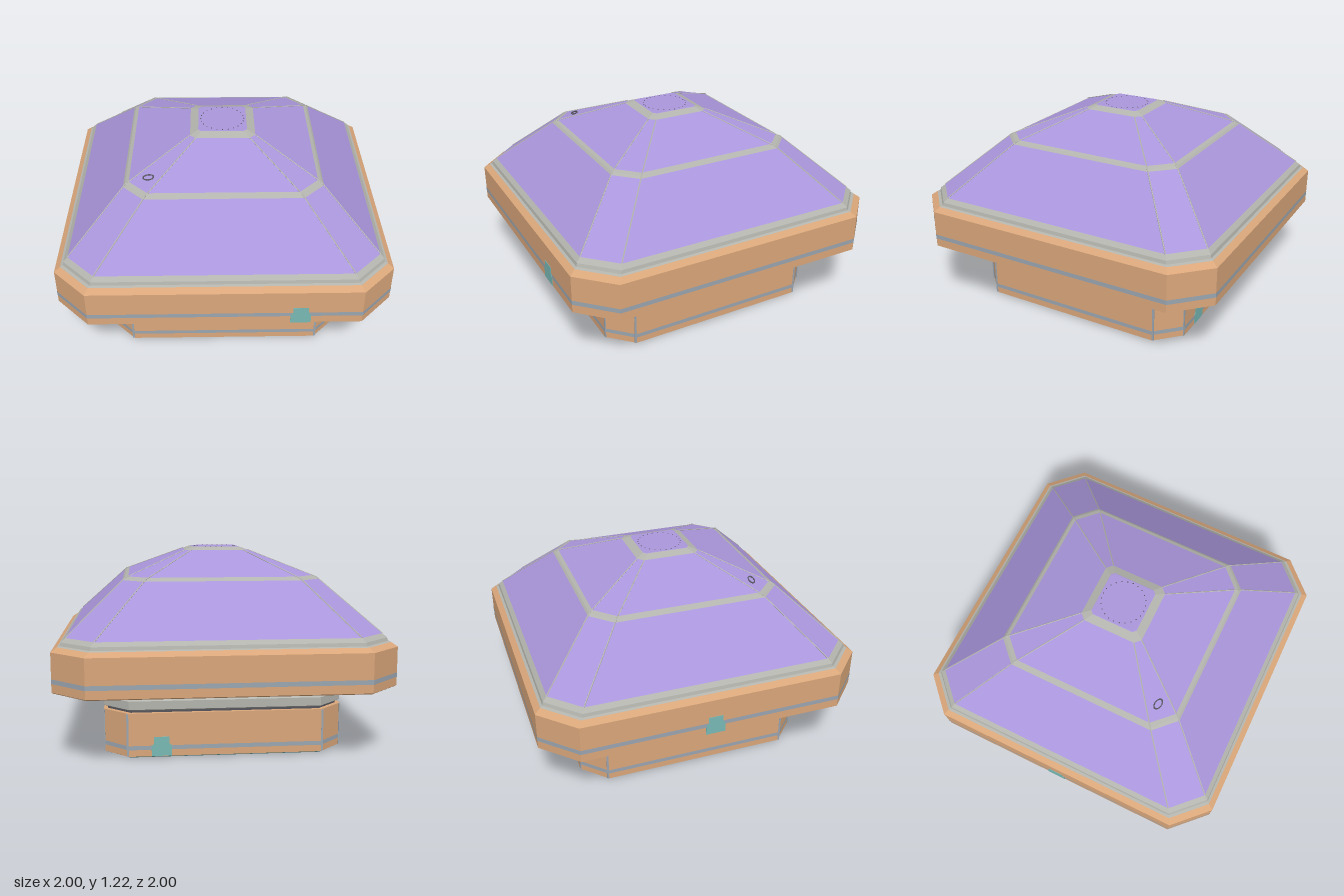
import * as THREE from 'three';

const mat = (color) => new THREE.MeshStandardMaterial({ color, flatShading: true, side: THREE.DoubleSide });
const TAN = mat(0xd9a67a), PURPLE = mat(0xaa96dc), TEAL = mat(0x78b8b4);
const GREY = mat(0xb4b4ae), STRIPE = mat(0x9aa5b0), DARK = mat(0x55555c);

// Chamfered square: half width h, chamfer starting at c, height y
function section([h, c, y]) {
  return [[c, h], [h, c], [h, -c], [c, -h], [-c, -h], [-h, -c], [-h, c], [-c, h]]
    .map(([x, z]) => new THREE.Vector3(x, y, z));
}

// Flat-faceted skin through chamfered sections listed from bottom to top
function loft(profile, bottom = false, top = false) {
  const rings = profile.map(section), pts = [];
  for (let r = 0; r < rings.length - 1; r++) {
    const a = rings[r], b = rings[r + 1];
    for (let i = 0; i < 8; i++) {
      const j = (i + 1) % 8;
      pts.push(a[i], a[j], b[j], a[i], b[j], b[i]);
    }
  }
  const cap = (ring, up) => {
    for (let i = 1; i < 7; i++) pts.push(ring[0], ring[up ? i : i + 1], ring[up ? i + 1 : i]);
  };
  if (bottom) cap(rings[0], false);
  if (top) cap(rings[rings.length - 1], true);
  const g = new THREE.BufferGeometry().setFromPoints(pts);
  g.computeVertexNormals();
  return g;
}

export function createModel() {
  const model = new THREE.Group();
  const add = (name, geometry, material, parent = model) => {
    const m = new THREE.Mesh(geometry, material);
    m.name = name;
    parent.add(m);
    return m;
  };
  const group = (name) => {
    const g = new THREE.Group();
    g.name = name;
    model.add(g);
    return g;
  };

  // Base block with a teal underside
  add('baseFloor', loft([[0.70, 0.565, 0], [0.72, 0.575, 0.01]], true), TEAL);
  add('baseBlock', loft([[0.72, 0.575, 0.01], [0.72, 0.575, 0.27]], false, true), TAN);
  add('baseStripe', loft([[0.722, 0.576, 0.05], [0.722, 0.576, 0.075]]), STRIPE);

  // Upright seams beside each base corner
  const seams = group('baseSeams');
  for (let side = 0; side < 4; side++) {
    const face = new THREE.Group();
    face.rotation.y = side * Math.PI / 2;
    seams.add(face);
    for (const s of [-1, 1])
      add('seam', new THREE.BoxGeometry(0.012, 0.255, 0.006), STRIPE, face).position.set(s * 0.58, 0.14, 0.718);
  }

  // Ringed neck
  add('neckCore', loft([[0.695, 0.56, 0.27], [0.695, 0.56, 0.42]]), DARK);
  add('lowerNeckRing', loft([[0.705, 0.565, 0.285], [0.718, 0.57, 0.292], [0.718, 0.57, 0.342], [0.705, 0.565, 0.35]], true, true), GREY);
  add('upperNeckRing', loft([[0.705, 0.565, 0.36], [0.715, 0.57, 0.367], [0.715, 0.57, 0.418]], true, true), GREY);
  const tabs = group('neckTabs');
  for (let i = 0; i < 4; i++) {
    const a = i * Math.PI / 2;
    const tab = add('neckTab', new THREE.BoxGeometry(0.16, 0.03, 0.02), TEAL, tabs);
    tab.position.set(Math.sin(a) * 0.714, 0.403, Math.cos(a) * 0.714);
    tab.rotation.y = a;
  }

  // Wide lid wall
  add('lidUnderside', loft([[0.97, 0.785, 0.418], [0.99, 0.795, 0.42]], true), TEAL);
  add('lidWall', loft([[0.99, 0.795, 0.418], [1, 0.8, 0.425], [1, 0.8, 0.655], [0.965, 0.78, 0.68]]), TAN);
  add('lidStripe', loft([[1.001, 0.801, 0.475], [1.001, 0.801, 0.502]]), STRIPE);
  add('lidRim', loft([[0.965, 0.78, 0.68], [0.95, 0.77, 0.685], [0.945, 0.765, 0.705], [0.92, 0.75, 0.728]]), GREY);

  // Two-pitch roof with pale trim at the break and around the crown
  add('lowerRoof', loft([[0.92, 0.75, 0.728], [0.597, 0.47, 1.029]]), PURPLE);
  add('roofTrim', loft([[0.597, 0.47, 1.029], [0.585, 0.46, 1.04], [0.563, 0.445, 1.049]]), GREY);
  add('upperRoof', loft([[0.563, 0.445, 1.049], [0.2, 0.165, 1.195]]), PURPLE);
  add('crownTrim', loft([[0.2, 0.165, 1.195], [0.15, 0.13, 1.214]]), GREY);
  add('crown', loft([[0.15, 0.13, 1.214], [0.145, 0.125, 1.215]], false, true), PURPLE);

  // Thin seams along the roof ridges
  const ridges = group('roofRidges');
  const levels = [[0.92, 0.75, 0.728], [0.585, 0.46, 1.04], [0.2, 0.165, 1.195]].map(section);
  for (let l = 0; l < 2; l++) for (let i = 0; i < 8; i++)
    add('ridge', new THREE.TubeGeometry(new THREE.LineCurve3(levels[l][i], levels[l + 1][i]), 1, 0.004, 5), GREY, ridges);

  // Small oval loop on the front corner of the roof
  const loop = add('roofLoop', new THREE.TorusGeometry(0.025, 0.004, 6, 20), DARK);
  loop.scale.set(1.3, 0.8, 1);
  loop.position.set(-0.445, 1.08, 0.445);
  loop.quaternion.setFromUnitVectors(new THREE.Vector3(0, 0, 1), new THREE.Vector3(-0.11, 0.48, 0.11).normalize());

  // Stepped ports on the lid and base
  const port = new THREE.Shape([[-0.06, 0], [0.06, 0], [0.06, 0.06], [0.045, 0.075], [0.045, 0.115],
    [-0.045, 0.115], [-0.045, 0.075], [-0.06, 0.06]].map(([x, y]) => new THREE.Vector2(x, y)));
  const portGeometry = new THREE.ExtrudeGeometry(port, { depth: 0.006, bevelEnabled: false });
  for (const [name, x, y, z, turn] of [
    ['frontPort', 0.44, 0.425, 0.997, 0],
    ['sidePort', -0.997, 0.425, 0, -Math.PI / 2],
    ['basePort', 0.38, 0.012, -0.717, Math.PI],
  ]) {
    const p = add(name, portGeometry, TEAL);
    p.position.set(x, y, z);
    p.rotation.y = turn;
  }

  // Rings of pin holes on the crown and underside
  const pins = group('pinHoles');
  const pin = new THREE.CylinderGeometry(0.004, 0.004, 0.002, 6);
  for (const [radius, y] of [[0.135, 1.2155], [0.18, 0.0005]])
    for (let i = 0; i < 24; i++) {
      const a = i / 24 * Math.PI * 2;
      add('pinHole', pin, DARK, pins).position.set(Math.cos(a) * radius, y, Math.sin(a) * radius);
    }
  return model;
}
